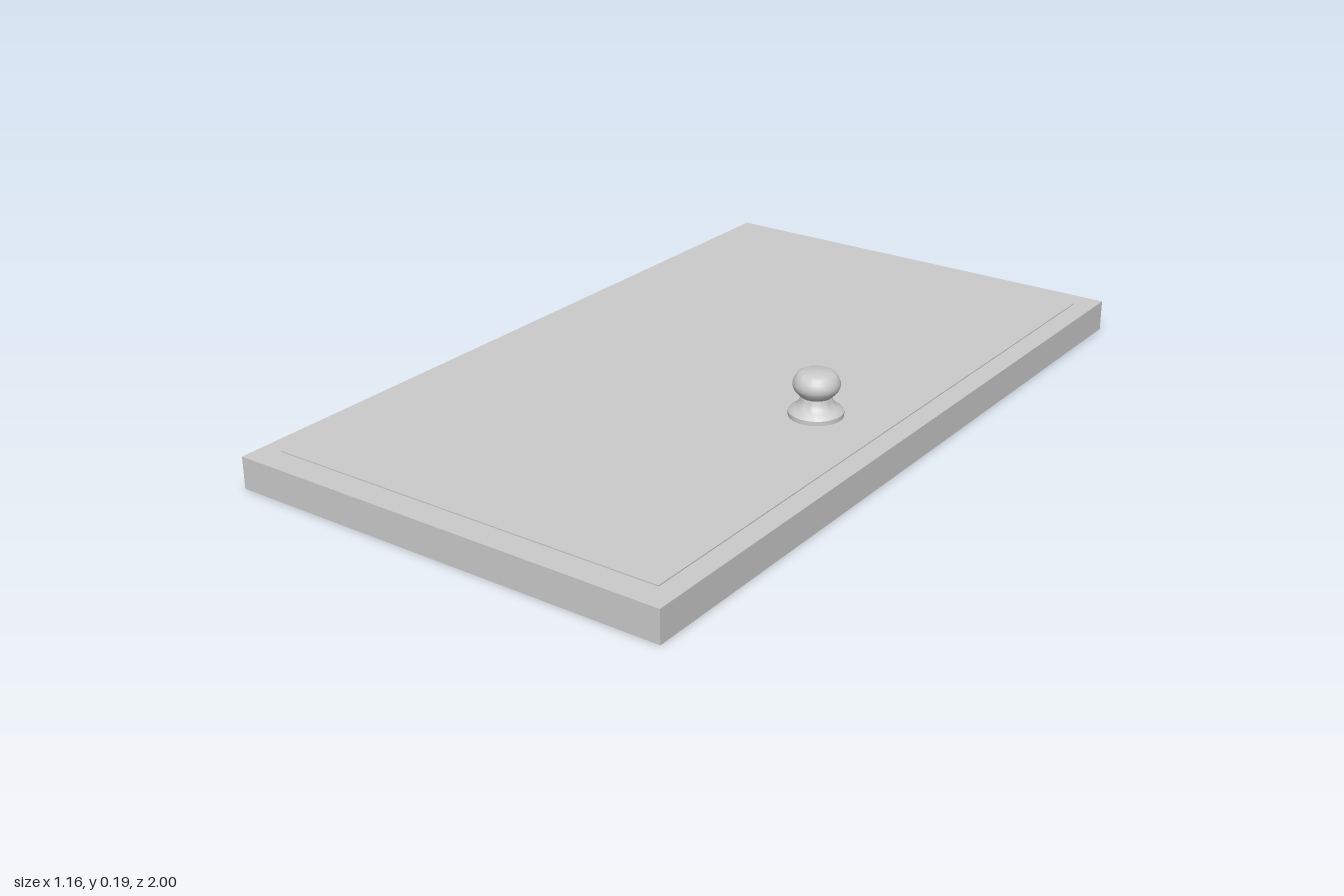
import * as THREE from 'three';
import { toCreasedNormals } from 'three/addons/utils/BufferGeometryUtils.js';

const material = new THREE.MeshStandardMaterial({ color: 0xcccccc });

function part(name, geometry, x = 0, y = 0, z = 0) {
  const mesh = new THREE.Mesh(geometry, material);
  mesh.name = name;
  mesh.position.set(x, y, z);
  return mesh;
}

function rectangle(target, hx, hy) {
  target.moveTo(-hx, -hy);
  target.lineTo(hx, -hy);
  target.lineTo(hx, hy);
  target.lineTo(-hx, hy);
  target.closePath();
  return target;
}

export function createModel() {
  const model = new THREE.Group();
  model.name = 'cabinetDoor';

  // Rectangular frame around the opening, lying flat
  const outline = rectangle(new THREE.Shape(), 0.58, 1);
  outline.holes.push(rectangle(new THREE.Path(), 0.527, 0.933));
  const frame = new THREE.ExtrudeGeometry(outline, { depth: 0.08, bevelEnabled: false });
  frame.rotateX(-Math.PI / 2);
  model.add(part('frame', frame));

  // Infill panel: slightly proud on top, recessed underneath
  const bottom = 0.022, top = 0.083;
  model.add(part('panel', new THREE.BoxGeometry(1.054, top - bottom, 1.866), 0, (top + bottom) / 2, 0));

  // Turned knob: flanged foot, narrow neck, rounded head with a flat top
  const profile = [
    [0, 0], [0.066, 0], [0.066, 0.014], [0.062, 0.019], [0.052, 0.024],
    [0.043, 0.034], [0.039, 0.043], [0.037, 0.052], [0.042, 0.056],
    [0.053, 0.069], [0.056, 0.077], [0.056, 0.086], [0.052, 0.097],
    [0.045, 0.107], [0.036, 0.112], [0, 0.112],
  ].map(([r, y]) => new THREE.Vector2(r, y));
  const knob = toCreasedNormals(new THREE.LatheGeometry(profile, 32), 0.6);
  model.add(part('knob', knob, 0.347, 0.08, 0.077));

  return model;
}
